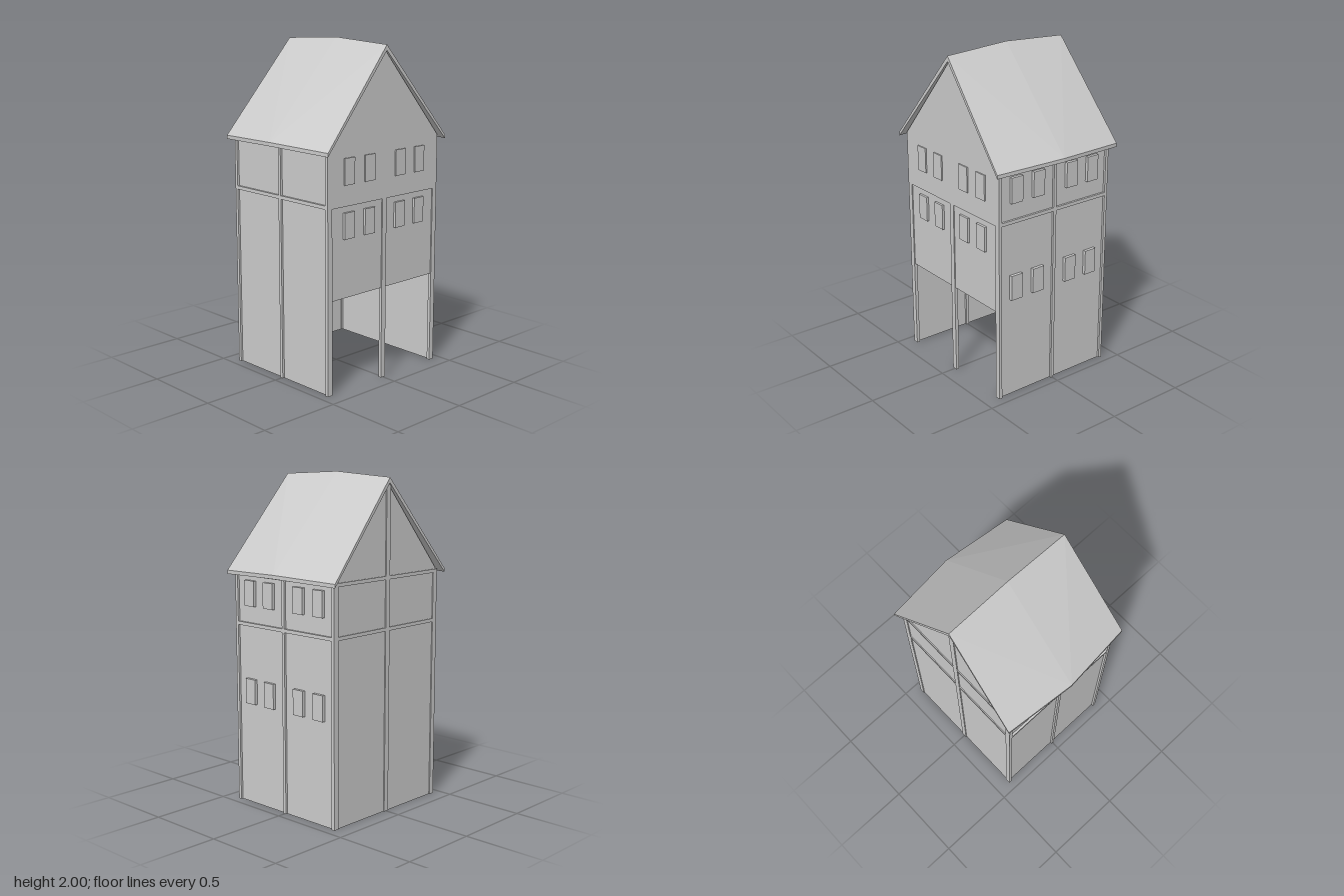
import * as THREE from 'three';

const mat = new THREE.MeshStandardMaterial({ color: 0xcccccc, flatShading: true });
const W = 0.45, D = 0.405;          // half width and half depth of the frame
const PX = 0.034, PZ = 0.02;        // post section
const EAVE = 1.4, MID = 1.095;      // eaves level and storey beam level

export function createModel() {
  const house = new THREE.Group();
  house.name = 'timberHouse';

  const add = (name, geometry) => {
    const mesh = new THREE.Mesh(geometry, mat);
    mesh.name = name;
    house.add(mesh);
  };
  // Box given by its lower and upper limits
  const box = (name, x0, x1, y0, y1, z0, z1) => add(name,
    new THREE.BoxGeometry(x1 - x0, y1 - y0, z1 - z0)
      .translate((x0 + x1) / 2, (y0 + y1) / 2, (z0 + z1) / 2));
  // Flat wall in the xy plane, extruded from z0 to z1
  const wall = (name, points, z0, z1) => add(name,
    new THREE.ExtrudeGeometry(new THREE.Shape(points.map(p => new THREE.Vector2(...p))),
      { depth: z1 - z0, bevelEnabled: false }).translate(0, 0, z0));

  // Upright posts: corners and middle of each side
  const px = W - PX / 2, pz = D - PZ / 2;
  for (const x of [-px, 0, px]) {
    for (const z of [-pz, 0, pz]) {
      if (x === 0 && z === 0) continue;
      const top = x !== 0 ? EAVE : z > 0 ? MID : 1.935;
      box('post', x - PX / 2, x + PX / 2, 0, top, z - PZ / 2, z + PZ / 2);
    }
  }

  // Horizontal beams on the sides and back
  for (const y of [MID, EAVE - 0.005]) {
    for (const s of [-1, 1]) {
      box('sideBeam', s * px - PX / 2, s * px + PX / 2, y, y + 0.021, -D, D);
    }
    box('backBeam', -W, W, y, y + 0.021, -D, -D + PZ);
  }

  // Thin infill panels; the front stays open below the first floor
  const t = 0.004;
  for (const s of [-1, 1]) {
    box('sidePanel', s * px - t, s * px + t, 0, EAVE + 0.02, -pz, pz);
  }
  const gable = y => [[-W + 0.01, y], [W - 0.01, y], [W - 0.01, 1.425], [0, 1.94], [-W + 0.01, 1.425]];
  wall('backWall', gable(0), -pz - t, -pz + t);
  box('frontLowerPanel', -px, px, 0.56, MID, pz - t, pz + t);
  wall('frontUpperWall',
    [[-W, MID], [W, MID], [W, 1.42], [0, 1.94], [-W, 1.42]], D - PZ, D);

  // Window blocks on the front and on the left side
  for (const c of [-0.287, -0.125, 0.125, 0.287]) {
    for (const y of [0.907, 1.217]) {
      box('frontWindow', c - 0.04, c + 0.04, y, y + 0.153, pz, D + 0.008);
    }
    for (const y of [0.623, 1.217]) {
      box('sideWindow', px, W + 0.006, y, y + 0.153, c * 0.975 - 0.04, c * 0.975 + 0.04);
    }
  }

  // Bowed roof slab: eaves and ridge swell at mid length
  const top = [
    [0.48, 1.42, 0.44], [0.522, 1.433, 0], [0.48, 1.42, -0.44],
    [0, 1.977, 0.413], [0, 2, 0], [0, 1.977, -0.413],
  ];
  const points = [...top, ...top.map(([x, y, z], i) => [x, y - (i < 3 ? 0.022 : 0.032), z])];
  const skin = [[0, 1, 3], [3, 1, 4], [4, 1, 5], [5, 1, 2]];
  const faces = [...skin, ...skin.map(([a, b, c]) => [a + 6, c + 6, b + 6])];
  for (const [a, b] of [[0, 1], [1, 2], [2, 5], [3, 0]]) {
    faces.push([b, a, a + 6], [b, a + 6, b + 6]);
  }
  for (const s of [1, -1]) {
    const pos = [];
    for (const [a, b, c] of faces) {
      for (const i of s > 0 ? [a, b, c] : [a, c, b]) {
        pos.push(s * points[i][0], points[i][1], points[i][2]);
      }
    }
    const slope = new THREE.BufferGeometry();
    slope.setAttribute('position', new THREE.Float32BufferAttribute(pos, 3));
    slope.computeVertexNormals();
    add(s > 0 ? 'leftRoofSlope' : 'rightRoofSlope', slope);
  }
  return house;
}
